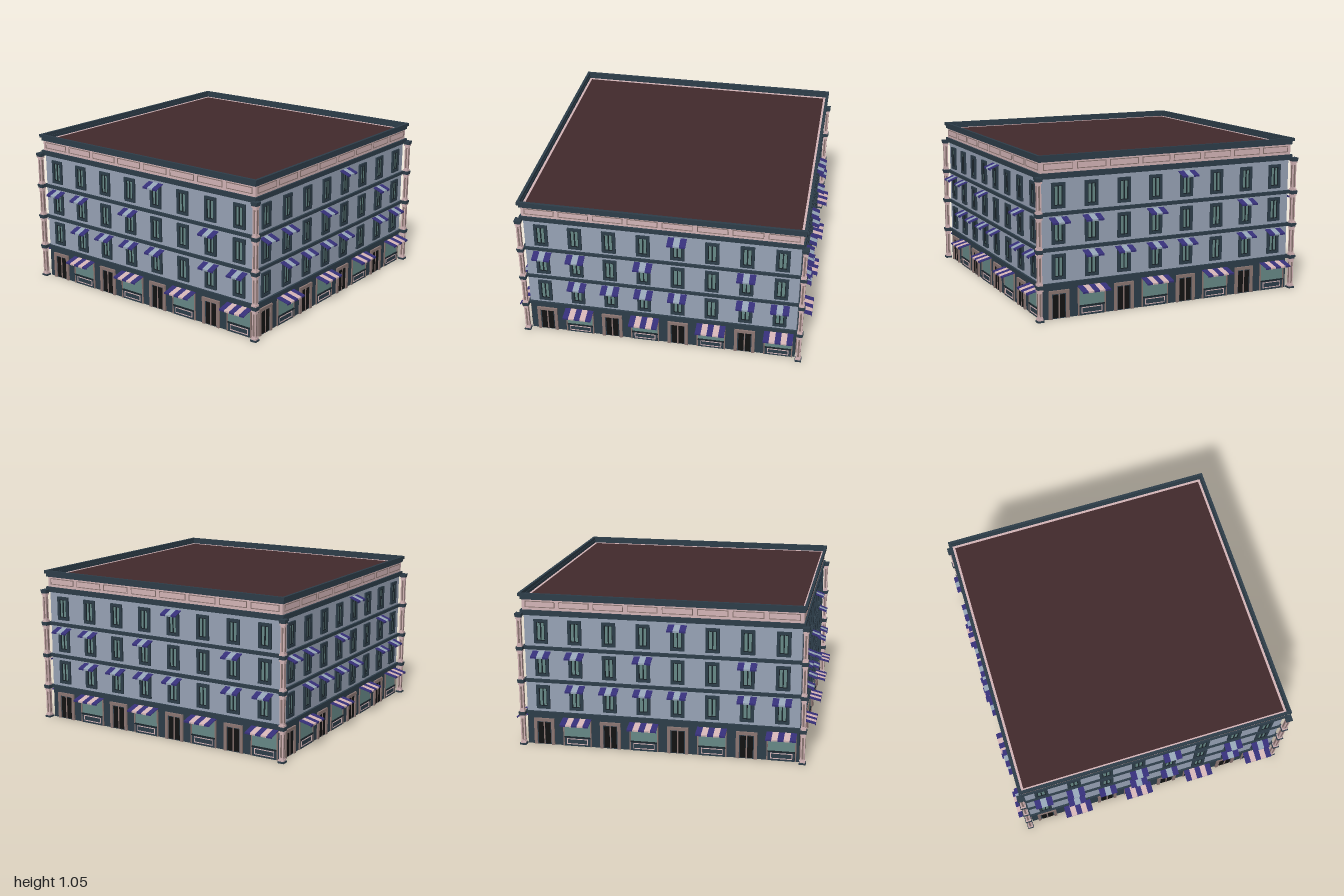
import * as THREE from 'three';

const mat = (color) => new THREE.MeshStandardMaterial({ color, flatShading: true, side: THREE.DoubleSide });
const M = {
  wall: mat(0x97a2b5), trim: mat(0x2d3d49), dark: mat(0x1b252b), pink: mat(0xd3b4b6),
  brown: mat(0x8b7672), black: mat(0x121212), glass: mat(0x668886), roof: mat(0x41292c),
  purple: mat(0x352f78), pale: mat(0x93a3b4), cream: mat(0xd2b3b4),
};
const WALL = 0.912, BAYS = 8, PITCH = 0.228, FLOOR = 0.227, BASE = 0.23;

// box given by its limits on each axis
function box(parent, name, m, x0, x1, y0, y1, z0, z1) {
  const mesh = new THREE.Mesh(new THREE.BoxGeometry(x1 - x0, y1 - y0, z1 - z0), m);
  mesh.position.set((x0 + x1) / 2, (y0 + y1) / 2, (z0 + z1) / 2);
  mesh.name = name;
  parent.add(mesh);
  return mesh;
}

// rectangular border of four bars
function border(parent, name, m, x0, x1, y0, y1, t, z0, z1, bottom = true) {
  box(parent, name, m, x0, x0 + t, y0, y1, z0, z1);
  box(parent, name, m, x1 - t, x1, y0, y1, z0, z1);
  box(parent, name, m, x0 + t, x1 - t, y1 - t, y1, z0, z1);
  if (bottom) box(parent, name, m, x0 + t, x1 - t, y0, y0 + t, z0, z1);
}

function group(parent, name, x = 0, y = 0, z = 0) {
  const g = new THREE.Group();
  g.name = name;
  g.position.set(x, y, z);
  parent.add(g);
  return g;
}

// striped sloping awning with a short valance
function awning(parent, x, y, width, depth, drop, stripes, light) {
  const g = group(parent, 'awning', x, y, WALL);
  const v = 0.011, w = width / stripes;
  const profile = new THREE.Shape([
    [0, 0], [depth, -drop], [depth, -drop - v], [depth - 0.003, -drop - v],
    [depth - 0.003, -drop - 0.003], [0, -0.004],
  ].map(([a, b]) => new THREE.Vector2(a, b)));
  const geo = new THREE.ExtrudeGeometry(profile, { depth: w, bevelEnabled: false }).rotateY(-Math.PI / 2);
  for (let i = 0; i < stripes; i++) {
    const s = new THREE.Mesh(geo, i % 2 ? light : M.purple);
    s.name = 'awningStripe';
    s.position.x = -width / 2 + (i + 1) * w;
    g.add(s);
  }
}

function sashWindow(parent, x, y) {
  const g = group(parent, 'window', x, y, WALL);
  border(g, 'windowFrame', M.trim, -0.046, 0.046, 0, 0.163, 0.018, -0.014, 0.012);
  border(g, 'windowSash', M.dark, -0.028, 0.028, 0.018, 0.145, 0.005, -0.013, 0.008);
  box(g, 'windowMullion', M.dark, -0.004, 0.004, 0.023, 0.14, -0.013, 0.008);
  box(g, 'windowGlass', M.glass, -0.023, 0.023, 0.023, 0.14, -0.012, 0.003);
}

function door(parent, x) {
  const g = group(parent, 'door', x, 0, WALL);
  border(g, 'doorFrame', M.brown, -0.07, 0.07, 0, 0.185, 0.021, -0.014, 0.012, false);
  box(g, 'doorSurround', M.trim, -0.049, 0.049, 0, 0.164, -0.012, 0.003);
  for (const s of [-1, 1]) {
    const c = s * 0.0235;
    box(g, 'doorLeaf', M.black, c - 0.018, c + 0.018, 0.006, 0.156, -0.013, 0.006);
  }
  box(g, 'doorPost', M.brown, -0.004, 0.004, 0, 0.164, -0.013, 0.008);
}

function shopFront(parent, x) {
  const g = group(parent, 'shopFront', x, 0, WALL);
  box(g, 'shopGlass', M.glass, -0.09, 0.09, 0.065, 0.185, -0.014, 0.004);
  for (const s of [-1, 1]) box(g, 'shopPost', M.brown, s * 0.093 - 0.004, s * 0.093 + 0.004, 0, 0.19, -0.013, 0.008);
  box(g, 'shopSill', M.dark, -0.09, 0.09, 0.06, 0.068, -0.013, 0.012);
  box(g, 'stallRiser', M.trim, -0.088, 0.088, 0, 0.06, -0.012, 0.005);
  border(g, 'riserTrim', M.pink, -0.072, 0.072, 0.013, 0.053, 0.005, -0.012, 0.008);
  awning(parent, x, 0.197, 0.197, 0.086, 0.021, 5, M.cream);
}

// one band running the length of a side
const band = (g, name, m, y0, y1, out, inner = 0.9) => box(g, name, m, -out, out, y0, y1, inner, out);

function facade() {
  const side = new THREE.Group();
  const awnings = [[1, 2, 3, 4, 6, 7], [0, 1, 3, 6], [4]];
  band(side, 'groundWall', M.trim, 0, 0.215, WALL, 0.902);
  band(side, 'upperWall', M.wall, 0.215, 0.92, WALL, 0.902);
  // ledges between floors
  for (let f = 0; f < 3; f++) {
    const y = BASE + f * FLOOR;
    band(side, 'ledge', M.trim, y - 0.02, y - 0.006, 0.919);
    band(side, 'ledgeLip', M.trim, y - 0.006, y + 0.005, 0.926);
  }
  // cornices and panelled parapet
  band(side, 'lowerCorniceStep', M.trim, 0.898, 0.916, 0.92);
  band(side, 'lowerCornice', M.trim, 0.916, 0.936, 0.932);
  band(side, 'parapet', M.pink, 0.936, 1.008, 0.92, 0.902);
  band(side, 'topCorniceStep', M.trim, 1.006, 1.028, 0.93, 0.918);
  band(side, 'topCornice', M.trim, 1.028, 1.05, 0.94, 0.922);
  // bays
  for (let b = 0; b < BAYS; b++) {
    const x = (b - (BAYS - 1) / 2) * PITCH;
    border(side, 'parapetPanelEdge', M.brown, x - 0.1, x + 0.1, 0.953, 0.996, 0.005, 0.9, 0.924);
    box(side, 'parapetPanel', M.pink, x - 0.095, x + 0.095, 0.958, 0.991, 0.901, 0.922);
    if (b % 2) shopFront(side, x);
    else door(side, x);
    for (let f = 0; f < 3; f++) {
      const y = BASE + 0.026 + f * FLOOR;
      sashWindow(side, x, y);
      if (awnings[f].includes(b)) awning(side, x, y + 0.172, 0.123, 0.064, 0.024, 3, M.pale);
    }
  }
  return side;
}

// corner column stacked in one storey per floor
function cornerColumn() {
  const col = new THREE.Group();
  const block = (name, m, h, y0, y1) => box(col, name, m, -h, h, y0, y1, -h, h);
  block('columnFoot', M.trim, 0.022, 0, 0.012);
  for (let f = 0; f < 4; f++) {
    const y0 = f ? BASE + (f - 1) * FLOOR + 0.005 : 0.012;
    const y1 = BASE + f * FLOOR - 0.02;
    block('columnBase', M.pink, 0.018, y0, y0 + 0.012);
    block('columnShaft', M.pink, 0.014, y0 + 0.012, y1 - 0.012);
    // sunken-looking panel on each face
    box(col, 'columnPanel', M.brown, -0.006, 0.006, y0 + 0.025, y1 - 0.025, -0.0147, 0.0147);
    box(col, 'columnPanel', M.brown, -0.0147, 0.0147, y0 + 0.025, y1 - 0.025, -0.006, 0.006);
    block('columnCapital', M.pink, 0.018, y1 - 0.012, y1);
    block('columnLedge', M.trim, 0.02, y1, y1 + 0.012);
    block('columnLedgeLip', M.trim, 0.023, y1 + 0.012, y1 + 0.025);
  }
  return col;
}

export function createModel() {
  const model = new THREE.Group();
  model.name = 'cornerBlockBuilding';
  const side = facade();
  const column = cornerColumn();
  ['front', 'left', 'back', 'right'].forEach((name, i) => {
    const s = side.clone();
    s.name = name + 'Facade';
    s.rotation.y = i * Math.PI / 2;
    model.add(s);
    const c = column.clone();
    c.name = 'cornerColumn';
    c.position.set(i === 0 || i === 1 ? 0.938 : -0.938, 0, i === 0 || i === 3 ? 0.938 : -0.938);
    model.add(c);
  });
  // flat roof set just below the parapet rim
  box(model, 'roof', M.roof, -0.919, 0.919, 0.998, 1.006, -0.919, 0.919);
  return model;
}
